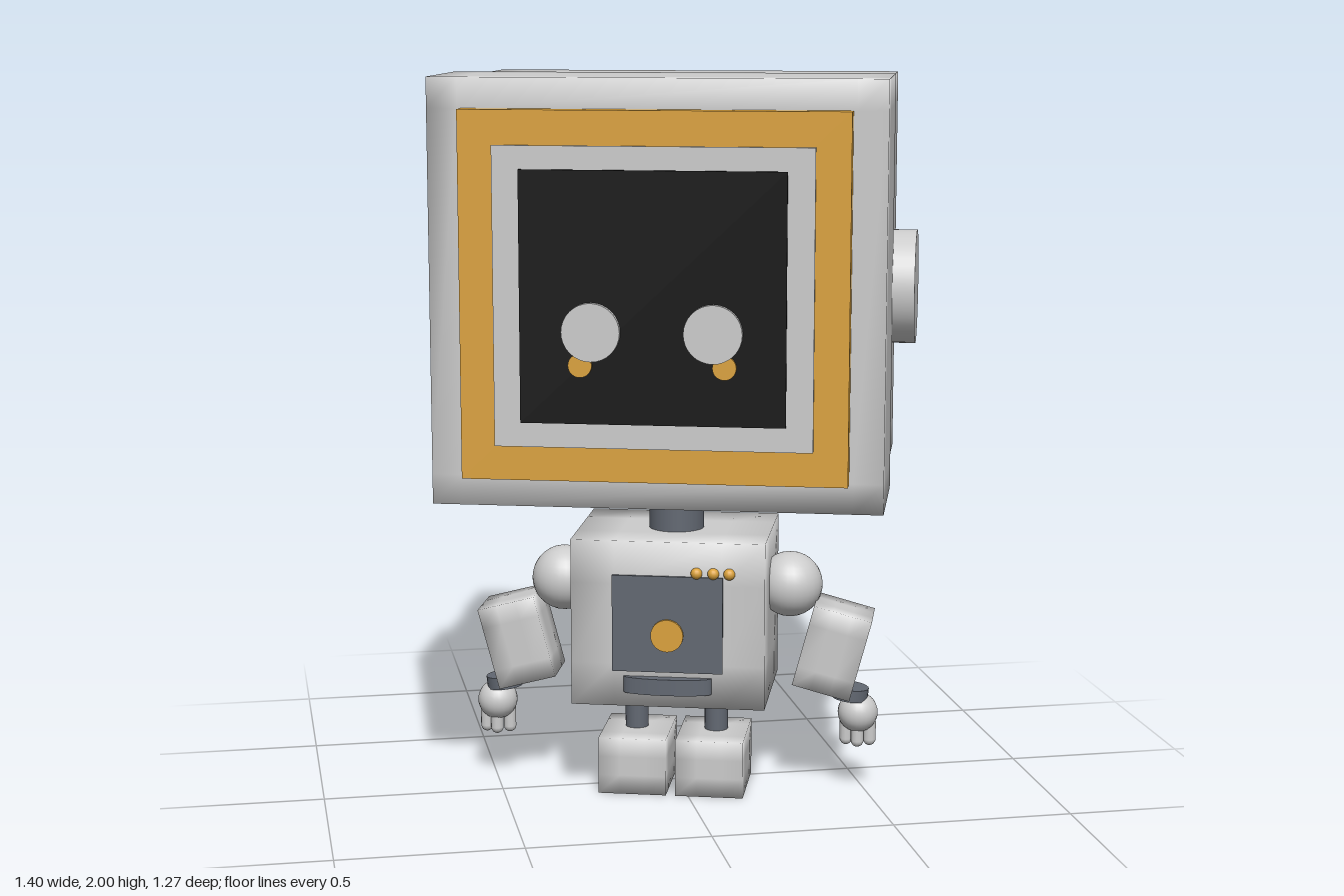
import * as THREE from 'three';
import { mergeVertices } from 'three/addons/utils/BufferGeometryUtils.js';

const mat = (name, color) => {
  const m = new THREE.MeshStandardMaterial({ color });
  m.name = name;
  return m;
};

// Box with support loops near its edges and smoothly blended normals
function softBox(w, h, d, inset) {
  const g = new THREE.BoxGeometry(w, h, d, 3, 3, 3);
  const p = g.attributes.position;
  const size = [w, h, d];
  for (let i = 0; i < p.count; i++) {
    const c = [p.getX(i), p.getY(i), p.getZ(i)].map((v, k) => {
      const half = size[k] / 2;
      return Math.abs(v) < half * 0.9 ? Math.sign(v) * Math.max(half - inset, half / 3) : v;
    });
    p.setXYZ(i, ...c);
  }
  g.deleteAttribute('normal');
  g.deleteAttribute('uv');
  const merged = mergeVertices(g);
  merged.computeVertexNormals();
  return merged;
}

export function createModel() {
  const grey = mat('light grey', 0xcccccc);
  const dark = mat('slate grey', 0x626872);
  const orange = mat('orange', 0xdba23c);
  const black = mat('screen black', 0x0c0c0c);

  const model = new THREE.Group();
  model.name = 'robot';
  // The whole figure is turned a little to its right
  const figure = new THREE.Group();
  figure.name = 'figure';
  figure.rotation.y = -0.312;
  model.add(figure);

  const add = (name, geo, material, x, y, z, parent = figure) => {
    const m = new THREE.Mesh(geo, material);
    m.name = name;
    m.position.set(x, y, z);
    parent.add(m);
    return m;
  };
  const disc = (r, t) => new THREE.CylinderGeometry(r, r, t, 32).rotateX(Math.PI / 2);

  // Head: two shells around a dark core
  const head = new THREE.Group();
  head.name = 'head';
  figure.add(head);
  add('headFrontShell', softBox(1.19, 1.12, 0.369, 0.08), grey, 0, 1.44, 0.2645, head);
  add('headBackShell', softBox(1.156, 1.09, 0.295, 0.08), grey, 0, 1.44, -0.334, head);
  add('headCore', softBox(1.14, 1.07, 0.29, 0.08), dark, 0, 1.44, -0.053, head);

  // Screen, bezel and face
  add('screenFrame', new THREE.BoxGeometry(1.01, 0.96, 0.053), orange, 0, 1.44, 0.4735, head);
  add('screenBezel', new THREE.BoxGeometry(0.83, 0.78, 0.009), grey, 0, 1.44, 0.5035, head);
  add('screen', new THREE.BoxGeometry(0.69, 0.655, 0.008), black, 0, 1.442, 0.511, head);
  for (const s of [-1, 1]) {
    add('eye', disc(0.076, 0.018), grey, s * 0.158, 1.355, 0.522, head);
    add('cheek', disc(0.031, 0.009), orange, s * 0.187, 1.268, 0.518, head);
    add('ear', new THREE.CylinderGeometry(0.155, 0.155, 0.1, 40).rotateZ(Math.PI / 2),
      grey, s * 0.605, 1.42, -0.028, head);
  }

  // Neck and body
  add('neck', new THREE.CylinderGeometry(0.077, 0.077, 0.18, 28), dark, 0, 0.82, 0.013);
  add('body', softBox(0.535, 0.465, 0.41, 0.12), grey, 0, 0.5075, 0.012);
  add('chestPanel', new THREE.BoxGeometry(0.305, 0.27, 0.008), dark, 0, 0.51, 0.22);
  add('chestButton', disc(0.045, 0.014), orange, 0, 0.48, 0.226);
  for (const x of [0.08, 0.126, 0.17]) {
    add('chestLight', new THREE.SphereGeometry(0.016, 16, 10), orange, x, 0.655, 0.219);
  }
  // Curved slots at the front and back of the body
  for (const z of [0.217, -0.193]) {
    const slot = add('bodySlot', new THREE.CylinderGeometry(0.122, 0.122, 0.045, 32), dark, 0, 0.338, z);
    slot.scale.z = 0.25;
  }

  // Arms and legs, mirrored
  const fingerGeo = new THREE.CapsuleGeometry(0.018, 0.05, 4, 12);
  for (const s of [-1, 1]) {
    const arm = new THREE.Group();
    arm.name = s > 0 ? 'leftArm' : 'rightArm';
    figure.add(arm);
    add('shoulder', new THREE.SphereGeometry(0.091, 28, 18), grey, s * 0.319, 0.585, 0.013, arm);
    const sleeve = add('sleeve', softBox(0.165, 0.235, 0.165, 0.055), grey, s * 0.443, 0.41, 0.02, arm);
    sleeve.rotation.z = -s * 0.26;
    const wrist = add('wrist', new THREE.CylinderGeometry(0.05, 0.05, 0.034, 24), dark,
      s * 0.492, 0.283, 0.03, arm);
    wrist.rotation.z = -s * 0.1;
    add('palm', new THREE.SphereGeometry(0.056, 24, 16), grey, s * 0.513, 0.225, 0.026, arm);
    for (const k of [-1, 0, 1]) {
      add('finger', fingerGeo, grey, s * 0.513 + k * 0.033, 0.171, k ? 0.02 : 0.04, arm);
    }

    const leg = new THREE.Group();
    leg.name = s > 0 ? 'leftLeg' : 'rightLeg';
    figure.add(leg);
    add('shin', new THREE.CylinderGeometry(0.033, 0.033, 0.18, 20), dark, s * 0.113, 0.21, 0.016, leg);
    add('foot', softBox(0.19, 0.16, 0.243, 0.06), grey, s * 0.108, 0.08, 0.033, leg);
  }
  return model;
}
